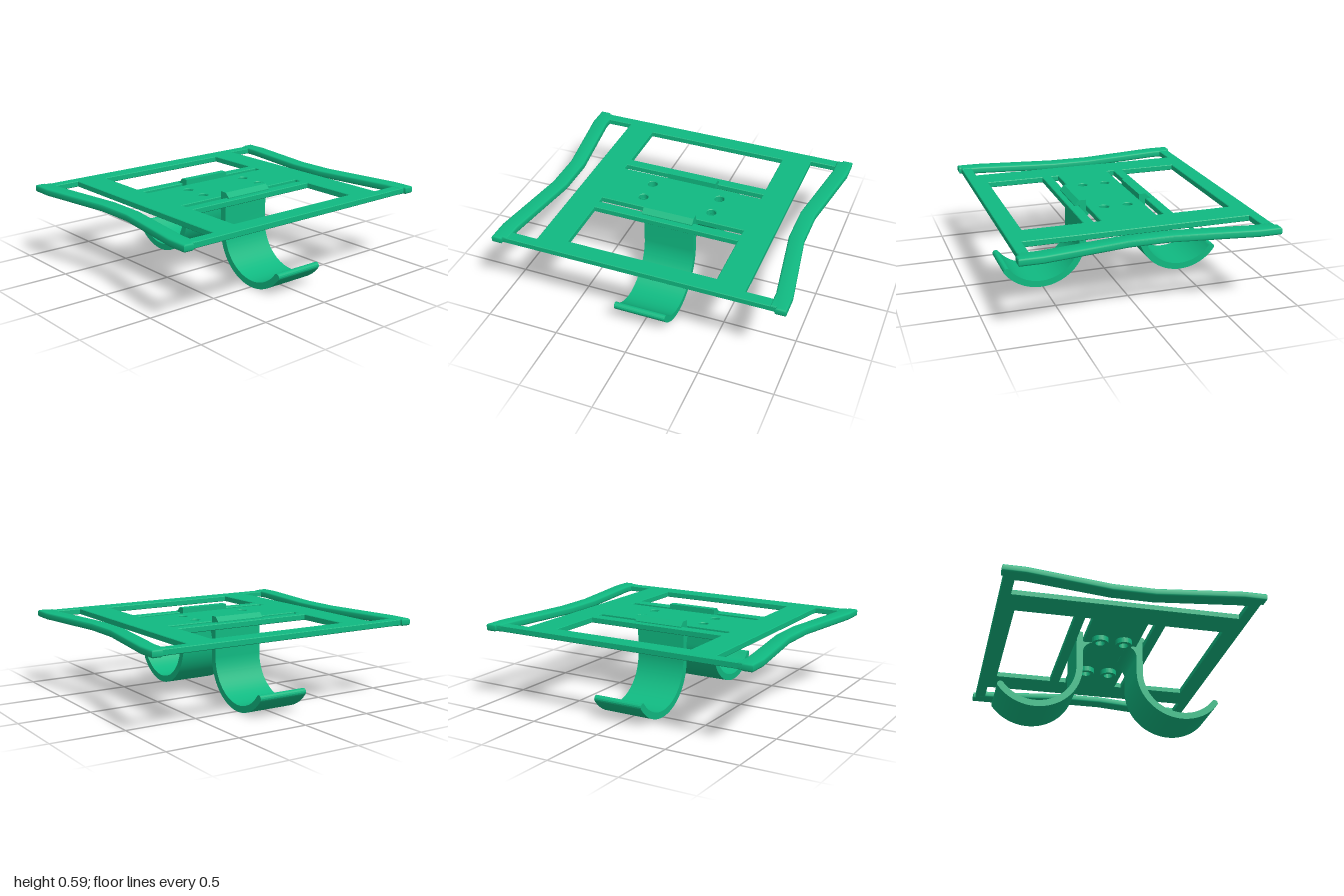
import * as THREE from 'three';
import { toCreasedNormals } from 'three/addons/utils/BufferGeometryUtils.js';

const material = new THREE.MeshStandardMaterial({ color: 0x10b981 });

const polygon = (points) => new THREE.Shape(points.map(([x, y]) => new THREE.Vector2(x, y)));
const rectangle = (x0, x1, y0, y1) => polygon([[x0, y0], [x1, y0], [x1, y1], [x0, y1]]);
const circle = (x, y, r) => new THREE.Shape().absarc(x, y, r, 0, Math.PI * 2);

function addMesh(parent, name, geometry) {
  const mesh = new THREE.Mesh(geometry, material);
  mesh.name = name;
  parent.add(mesh);
  return mesh;
}

// Extrude a shape drawn in x/z so that it fills the heights bottom..top.
function slab(shape, bottom, top, bevel = 0, bevelSegments = 1) {
  const geometry = new THREE.ExtrudeGeometry(shape, {
    depth: top - bottom - 2 * bevel,
    curveSegments: 24,
    bevelEnabled: bevel > 0,
    bevelThickness: bevel,
    bevelSize: bevel,
    bevelOffset: -bevel,
    bevelSegments,
  });
  geometry.rotateX(Math.PI / 2).translate(0, top - bevel, 0);
  return toCreasedNormals(geometry, 0.6);
}

const SCREWS = [[-0.083, -0.248], [0.083, -0.248], [-0.083, 0.248], [0.083, 0.248]];
const PLATE_BOTTOM = 0.517;
const PLATE_TOP = 0.557;

// Panel with side rails running on to the end bars, pierced by windows, slots and screw holes.
function plateGeometry() {
  const shape = polygon([
    [-0.833, -0.95], [-0.76, -0.95], [-0.76, -0.712], [0.76, -0.712], [0.76, -0.95], [0.833, -0.95],
    [0.833, 0.95], [0.76, 0.95], [0.76, 0.712], [-0.76, 0.712], [-0.76, 0.95], [-0.833, 0.95],
  ]);
  for (const side of [-1, 1]) {
    shape.holes.push(rectangle(side * 0.31, side * 0.712, -0.512, 0.512));
    shape.holes.push(rectangle(side * 0.19, side * 0.24, -0.512, 0.512));
  }
  for (const [x, z] of SCREWS) shape.holes.push(circle(x, z, 0.033));
  return slab(shape, PLATE_BOTTOM, PLATE_TOP, 0.004);
}

// End bar that dips inwards at its middle, with short lugs at both corners.
function endBarGeometry(end) {
  const half = [[0.14, 0.913], [0.7, 0.998], [0.85, 0.998], [0.85, 0.927], [0.833, 0.927],
    [0.833, 0.89], [0.7, 0.89], [0.14, 0.808]];
  const mirrored = half.map(([x, z]) => [-x, z]).reverse();
  const points = [...half, ...mirrored].map(([x, z]) => [x, z * end]);
  return slab(polygon(points), 0.513, 0.562, 0.012, 3);
}

// Side profile of a hook: latch head, straight strap, curved arm with a round tip.
function hookGeometry() {
  const cx = 0.51, cy = 0.32, outer = 0.32, inner = 0.275;
  const middle = (outer + inner) / 2, tip = -0.65;
  const shape = new THREE.Shape();
  shape.moveTo(0.19, 0.593);
  shape.lineTo(0.19, 0.52);
  shape.lineTo(0.115, 0.52);
  shape.absarc(0.115, 0.44, 0.075, Math.PI / 2, 0, true);
  shape.absarc(cx, cy, outer, Math.PI, Math.PI * 2 + tip, false);
  shape.absarc(cx + middle * Math.cos(tip), cy + middle * Math.sin(tip),
    (outer - inner) / 2, tip, tip + Math.PI, false);
  shape.absarc(cx, cy, inner, Math.PI * 2 + tip, Math.PI, true);
  shape.lineTo(0.235, PLATE_TOP);
  shape.lineTo(0.27, PLATE_TOP);
  shape.lineTo(0.27, 0.563);
  shape.lineTo(0.238, 0.593);
  const geometry = new THREE.ExtrudeGeometry(shape, { depth: 0.36, bevelEnabled: false, curveSegments: 40 });
  geometry.translate(0, 0, -0.18);
  return toCreasedNormals(geometry, 0.5);
}

export function createModel() {
  const model = new THREE.Group();
  model.name = 'clipFrame';

  addMesh(model, 'plate', plateGeometry());
  addMesh(model, 'frontEndBar', endBarGeometry(1));
  addMesh(model, 'backEndBar', endBarGeometry(-1));

  // Ring bosses under the screw holes
  for (const [x, z] of SCREWS) {
    const ring = circle(x, z, 0.057);
    ring.holes.push(circle(x, z, 0.033));
    addMesh(model, 'screwBoss', slab(ring, 0.48, PLATE_BOTTOM + 0.003));
  }

  // Pair of hooks; the right one is the left one turned half a circle
  const hook = hookGeometry();
  addMesh(model, 'leftHook', hook);
  addMesh(model, 'rightHook', hook).rotation.y = Math.PI;

  return model;
}
